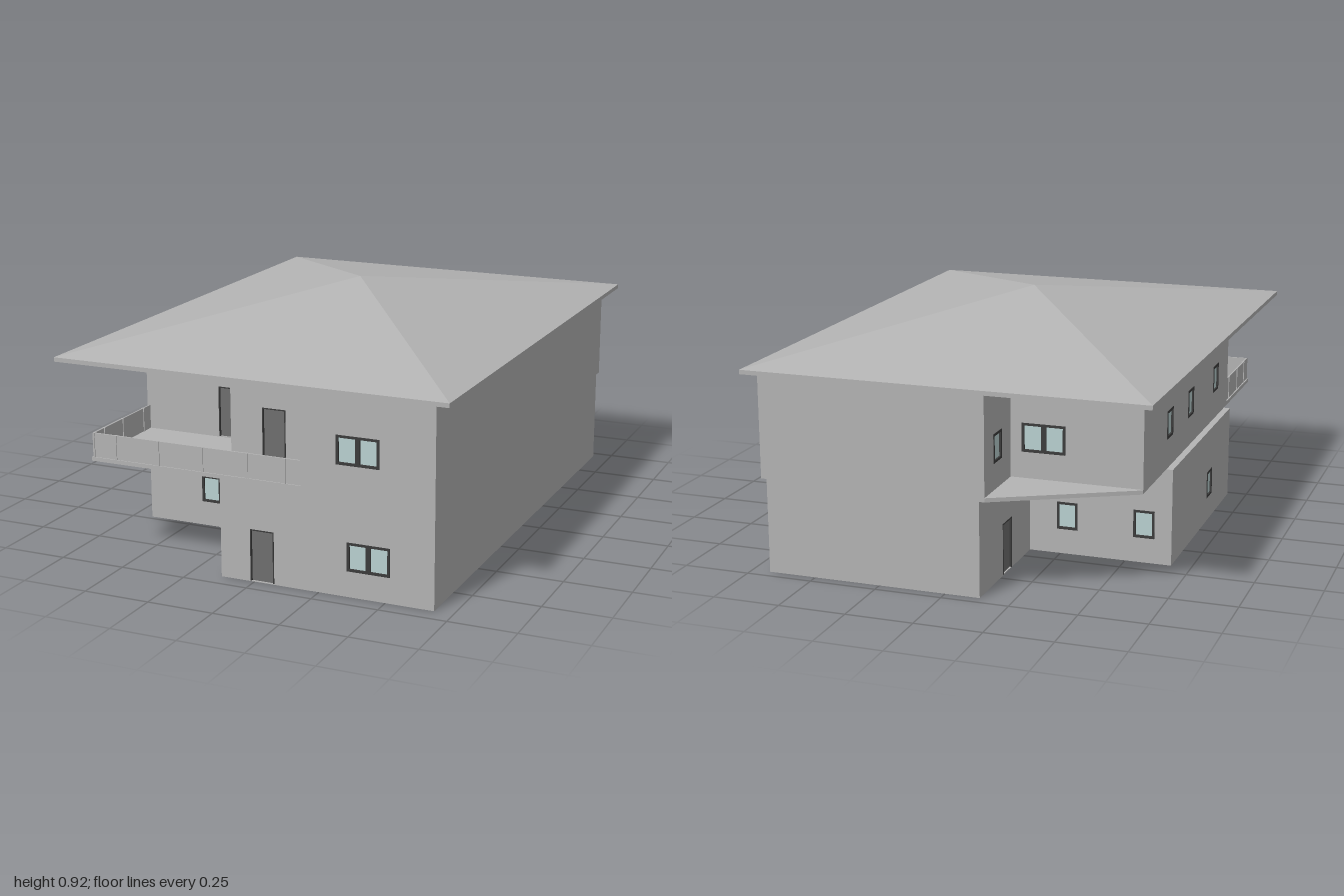
import * as THREE from 'three';

const mat = (name, color) => {
  const m = new THREE.MeshStandardMaterial({ color });
  m.name = name;
  return m;
};

const T = 0.025;                       // wall thickness
const FLOOR = 0.38, EAVES = 0.74;      // upper floor level and roof underside

// window and door descriptions: c = centre along the wall's world axis
const win = (c, y, w = 0.16) => ({ c, y, w, h: 0.105, kind: 'window' });
const door = (c, y = 0.003) => ({ c, y, w: 0.092, h: 0.192, kind: 'door' });

export function createModel() {
  const wallMat = mat('plaster grey', 0xb4b4b4);
  const frameMat = mat('frame charcoal', 0x3c3c3c);
  const glassMat = mat('glass pale blue', 0xb9d1d1);
  const doorMat = mat('door grey', 0x6e6e6e);

  const house = new THREE.Group();
  house.name = 'house';

  function box(parent, name, material, w, h, d, x, y, z) {
    const m = new THREE.Mesh(new THREE.BoxGeometry(w, h, d), material);
    m.name = name;
    m.position.set(x, y, z);
    parent.add(m);
  }

  // frame, panes and leaf that fill one wall opening
  function fill(parent, o, t) {
    const g = new THREE.Group();
    g.name = o.kind;
    g.position.set(t, o.y, -T / 2);
    const f = o.kind === 'window' ? 0.009 : 0.004, d = T + 0.004;
    for (const s of [-1, 1]) box(g, 'frameSide', frameMat, f, o.h, d, s * (o.w - f) / 2, o.h / 2, 0);
    box(g, 'frameTop', frameMat, o.w, f, d, 0, o.h - f / 2, 0);
    if (o.kind === 'window') {
      box(g, 'frameSill', frameMat, o.w, f, d, 0, f / 2, 0);
      if (o.w > 0.1) box(g, 'mullion', frameMat, 0.018, o.h, d, 0, o.h / 2, 0);
      box(g, 'glass', glassMat, o.w, o.h, 0.016, 0, o.h / 2, 0);
    } else {
      box(g, 'leaf', doorMat, o.w, o.h, 0.012, 0, o.h / 2, 0);
    }
    parent.add(g);
  }

  // wall from a to b (x, z); its outer face lies on that line
  function wall(parent, name, a, b, y0, y1, openings = []) {
    const dx = b[0] - a[0], dz = b[1] - a[1], len = Math.hypot(dx, dz);
    const rect = (P, x0, x1, lo, hi) => {
      const p = new P();
      p.moveTo(x0, lo).lineTo(x1, lo).lineTo(x1, hi).lineTo(x0, hi).closePath();
      return p;
    };
    const g = new THREE.Group();
    g.name = name;
    g.position.set(a[0], 0, a[1]);
    g.rotation.y = Math.atan2(-dz, dx);
    const shape = rect(THREE.Shape, 0, len, y0, y1);
    for (const o of openings) {
      const t = Math.abs(o.c - (Math.abs(dx) > Math.abs(dz) ? a[0] : a[1]));
      shape.holes.push(rect(THREE.Path, t - o.w / 2, t + o.w / 2, o.y, o.y + o.h));
      fill(g, o, t);
    }
    const geo = new THREE.ExtrudeGeometry(shape, { depth: T, bevelEnabled: false });
    geo.translate(0, 0, -T);
    const m = new THREE.Mesh(geo, wallMat);
    m.name = 'panel';
    g.add(m);
    parent.add(g);
  }

  // closed run of walls around a footprint
  function storey(name, pts, y0, y1, openings) {
    const g = new THREE.Group();
    g.name = name;
    pts.forEach((p, i) => wall(g, 'wall', p, pts[(i + 1) % pts.length], y0, y1, openings[i]));
    house.add(g);
    return g;
  }

  const LOW = 0.095, HIGH = FLOOR + 0.096, SMALL = 0.08;

  // ground floor: main block with a side wing
  const ground = storey('groundFloor', [
    [-0.675, 0.48], [-0.13, 0.48], [-0.13, 0.935], [0.68, 0.935],
    [0.68, -0.96], [-0.13, -0.96], [-0.13, -0.427], [-0.675, -0.427],
  ], 0, 0.365, {
    0: [win(-0.37, LOW)],
    2: [door(0.032), win(0.437, LOW)],
    5: [door(-0.678)],
    6: [win(-0.276, LOW, SMALL), win(-0.57, LOW, SMALL)],
    7: [win(0.145, LOW, SMALL)],
  });

  // ground floor partitions
  wall(ground, 'porchPartition', [-0.13, 0.715], [0.66, 0.715], 0, 0.365, [door(0), win(0.373, LOW, SMALL)]);
  wall(ground, 'roomPartition', [-0.13, -0.01], [-0.13, 0.715], 0, 0.365, [door(0.14)]);
  wall(ground, 'rearPartition', [-0.13, -0.45], [-0.13, -0.166], 0, 0.365);
  wall(ground, 'wingPartition', [-0.66, 0.015], [-0.11, 0.015], 0, 0.365);
  wall(ground, 'hallPartition', [-0.39, -0.145], [-0.11, -0.145], 0, 0.365);
  wall(ground, 'washroomPartition', [-0.4, -0.42], [-0.4, -0.145], 0, 0.365);

  // upper floor, set back behind the balcony
  storey('upperFloor', [
    [-0.65, 0.53], [-0.195, 0.53], [-0.195, 0.72], [0.183, 0.72], [0.183, 0.935],
    [0.68, 0.935], [0.68, -1], [-0.165, -1], [-0.165, -0.735], [-0.65, -0.735],
  ], FLOOR, EAVES, {
    0: [door(-0.298, FLOOR + 0.003)],
    2: [door(-0.022, FLOOR + 0.003)],
    4: [win(0.397, HIGH)],
    7: [win(-0.87, HIGH, SMALL)],
    8: [win(-0.287, HIGH)],
    9: [win(-0.385, HIGH, SMALL), win(-0.08, HIGH, SMALL), win(0.32, HIGH, SMALL)],
  });

  // floor slab with front balcony and angled rear corner
  const slabShape = new THREE.Shape(
    [[-0.65, -0.935], [0.68, -0.935], [0.68, 1], [-0.165, 1], [-0.65, 0.74]]
      .map(([x, y]) => new THREE.Vector2(x, y)));
  const slabGeo = new THREE.ExtrudeGeometry(slabShape, { depth: 0.015, bevelEnabled: false });
  slabGeo.rotateX(-Math.PI / 2).translate(0, 0.365, 0);
  const slab = new THREE.Mesh(slabGeo, wallMat);
  slab.name = 'floorSlab';
  house.add(slab);

  // balcony railing: solid panels with slim posts
  const rail = new THREE.Group();
  rail.name = 'balconyRailing';
  const railY = FLOOR + 0.045;
  box(rail, 'frontPanel', wallMat, 0.823, 0.09, 0.006, -0.2285, railY, 0.928);
  box(rail, 'sidePanel', wallMat, 0.006, 0.09, 0.4, -0.642, railY, 0.728);
  for (const x of [-0.641, -0.55, -0.376, -0.2, -0.025, 0.123]) {
    box(rail, 'post', wallMat, 0.007, 0.09, 0.012, x, railY, 0.928);
  }
  for (const z of [0.58, 0.73, 0.86]) box(rail, 'post', wallMat, 0.012, 0.09, 0.007, -0.642, railY, z);
  house.add(rail);

  // roof: eaves plate and four-sided pyramid
  box(house, 'eaves', wallMat, 1.5, 0.016, 2, 0, EAVES + 0.008, 0);
  const roofGeo = new THREE.ConeGeometry(Math.SQRT1_2, 0.165, 4, 1, true).toNonIndexed();
  roofGeo.rotateY(Math.PI / 4).scale(1.5, 1, 2);
  roofGeo.translate(0, 0.756 + 0.0825, 0);
  roofGeo.computeVertexNormals();
  const roof = new THREE.Mesh(roofGeo, wallMat);
  roof.name = 'roof';
  house.add(roof);

  return house;
}
